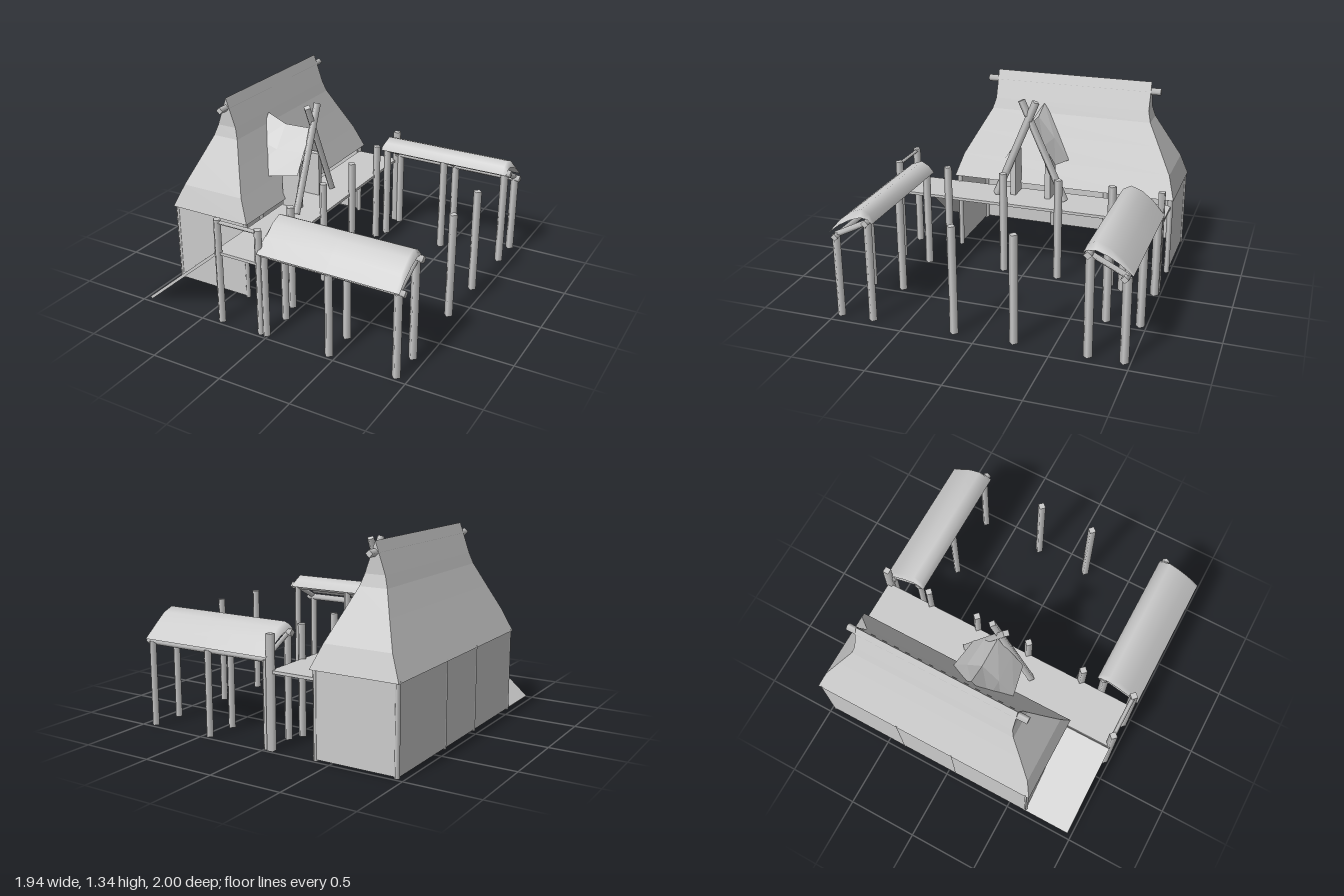
import * as THREE from 'three';

const wood = new THREE.MeshStandardMaterial({ color: 0xcccccc, side: THREE.DoubleSide });
const faceted = new THREE.MeshStandardMaterial({ color: 0xcccccc, side: THREE.DoubleSide, flatShading: true });

export function createModel() {
  const root = new THREE.Group();

  const add = (name, geometry, material = wood) => {
    const mesh = new THREE.Mesh(geometry, material);
    mesh.name = name;
    root.add(mesh);
    return mesh;
  };

  // Four-sided pole between two points
  const pole = (name, a, b, r = 0.03) => {
    const from = new THREE.Vector3(...a), to = new THREE.Vector3(...b);
    const dir = to.clone().sub(from);
    const mesh = add(name, new THREE.CylinderGeometry(r, r, dir.length(), 4));
    mesh.position.copy(from).add(to).multiplyScalar(0.5);
    mesh.quaternion.setFromUnitVectors(new THREE.Vector3(0, 1, 0), dir.normalize());
    return mesh;
  };
  const post = (name, x, z, top, r) => pole(name, [x, 0, z], [x, top, z], r);

  const box = (name, x0, x1, y0, y1, z0, z1) => {
    const mesh = add(name, new THREE.BoxGeometry(x1 - x0, y1 - y0, z1 - z0));
    mesh.position.set((x0 + x1) / 2, (y0 + y1) / 2, (z0 + z1) / 2);
    return mesh;
  };

  // Skin stretched over rows of points
  const loft = (name, rows, material) => {
    const n = rows[0].length, index = [];
    for (let i = 0; i < rows.length - 1; i++) {
      for (let j = 0; j < n - 1; j++) {
        const a = i * n + j, b = a + n;
        index.push(a, a + 1, b, b, a + 1, b + 1);
      }
    }
    const g = new THREE.BufferGeometry();
    g.setAttribute('position', new THREE.Float32BufferAttribute(rows.flat(2), 3));
    g.setIndex(index);
    g.computeVertexNormals();
    return add(name, g, material);
  };

  // House walls: the side under the deck is open
  box('backWall', -0.965, -0.955, 0.01, 0.57, -0.98, 0.63);
  box('frontEndWall', -0.96, -0.39, 0.01, 0.57, 0.62, 0.63);
  box('rearEndWall', -0.96, -0.39, 0.01, 0.57, -0.985, -0.975);
  for (const z of [0.62, 0.055, -0.375, -0.975]) post('wallPost', -0.95, z, 0.58, 0.02);
  for (const z of [0.62, -0.975]) post('wallPost', -0.39, z, 0.57, 0.02);

  // Flared main roof: each level is [height, half width, half length]
  const levels = [[0.57, 0.305, 0.825], [0.73, 0.235, 0.775], [0.905, 0.16, 0.68],
    [1.06, 0.095, 0.595], [1.135, 0.07, 0.575], [1.335, 0, 0.575]];
  const corners = [[-1, -1], [-1, 1], [1, 1], [1, -1], [-1, -1]];
  loft('mainRoof', levels.map(([y, hx, hz]) =>
    corners.map(([sx, sz]) => [-0.665 + sx * hx, y, -0.175 + sz * hz])), faceted);
  pole('ridgePole', [-0.665, 1.265, 0.475], [-0.665, 1.265, -0.82], 0.025);

  // Entrance dormer: each section is [x, ridge, middle height, middle half width, eave height, eave half width]
  const sections = [[-0.23, 1.075, 0.925, 0.105, 0.79, 0.19],
    [-0.44, 1.07, 0.92, 0.12, 0.76, 0.23], [-0.58, 1.13, 0.96, 0.12, 0.79, 0.22]];
  loft('dormerRoof', sections.map(([x, ridge, my, mz, ey, ez]) =>
    [[ez, ey], [mz, my], [0, ridge], [-mz, my], [-ez, ey]].map(([z, y]) => [x, y, 0.02 + z])), faceted);
  for (const z of [-0.11, 0.15]) box('doorSideWall', -0.38, -0.24, 0.52, 0.84, z - 0.02, z + 0.02);
  pole('crossedPole', [-0.21, 0.53, 0.265], [-0.21, 1.245, -0.03], 0.028);
  pole('crossedPole', [-0.225, 0.53, -0.245], [-0.225, 1.245, 0.08], 0.028);

  // Deck with its posts, rail and access ramp
  box('deck', -0.39, -0.06, 0.5, 0.52, -0.98, 0.97);
  for (const z of [0.96, 0.58, 0.16, -0.245, -0.63]) post('deckPost', -0.055, z, 0.75);
  post('deckCornerPost', -0.055, -0.97, 0.75).rotation.y = Math.PI / 4;
  post('deckPost', -0.365, 0.96, 0.75);
  pole('deckRail', [-0.365, 0.73, 0.96], [-0.055, 0.73, 0.96], 0.015);
  const ramp = add('ramp', new THREE.BoxGeometry(0.75, 0.02, 0.34));
  ramp.position.set(-0.675, 0.25, 0.8);
  ramp.rotation.z = Math.atan2(0.48, 0.56);
  for (const z of [-0.245, 0.16]) post('yardPost', 0.91, z, 0.75);

  // Two mirrored shelters with curved roofs
  const arch = [[1, 0.6], [0.92, 0.695], [0.84, 0.757], [0.765, 0.785], [0.71, 0.755], [0.685, 0.7]];
  for (const s of [1, -1]) {
    const row = (x, lift) => arch.map(([z, y]) => {
      const chord = 0.6 + (1 - z) * 0.32;
      return [x, chord + (y - chord) * lift, s * z];
    });
    loft('shelterRoof', [row(-0.045, 0.55), row(-0.02, 1), row(0.45, 1), row(0.92, 1), row(0.945, 0.55)]);
    for (const x of [-0.015, 0.45, 0.92]) {
      post('shelterOuterPost', x, s * 0.96, 0.58);
      post('shelterInnerPost', x, s * 0.73, 0.7);
      pole('rafter', [x, 0.585, s * 0.96], [x, 0.7, s * 0.73], 0.02);
    }
    pole('outerBeam', [-0.05, 0.58, s * 0.95], [0.965, 0.58, s * 0.95], 0.025);
    pole('innerBeam', [-0.05, 0.705, s * 0.725], [0.97, 0.705, s * 0.725], 0.027);
  }

  return root;
}
